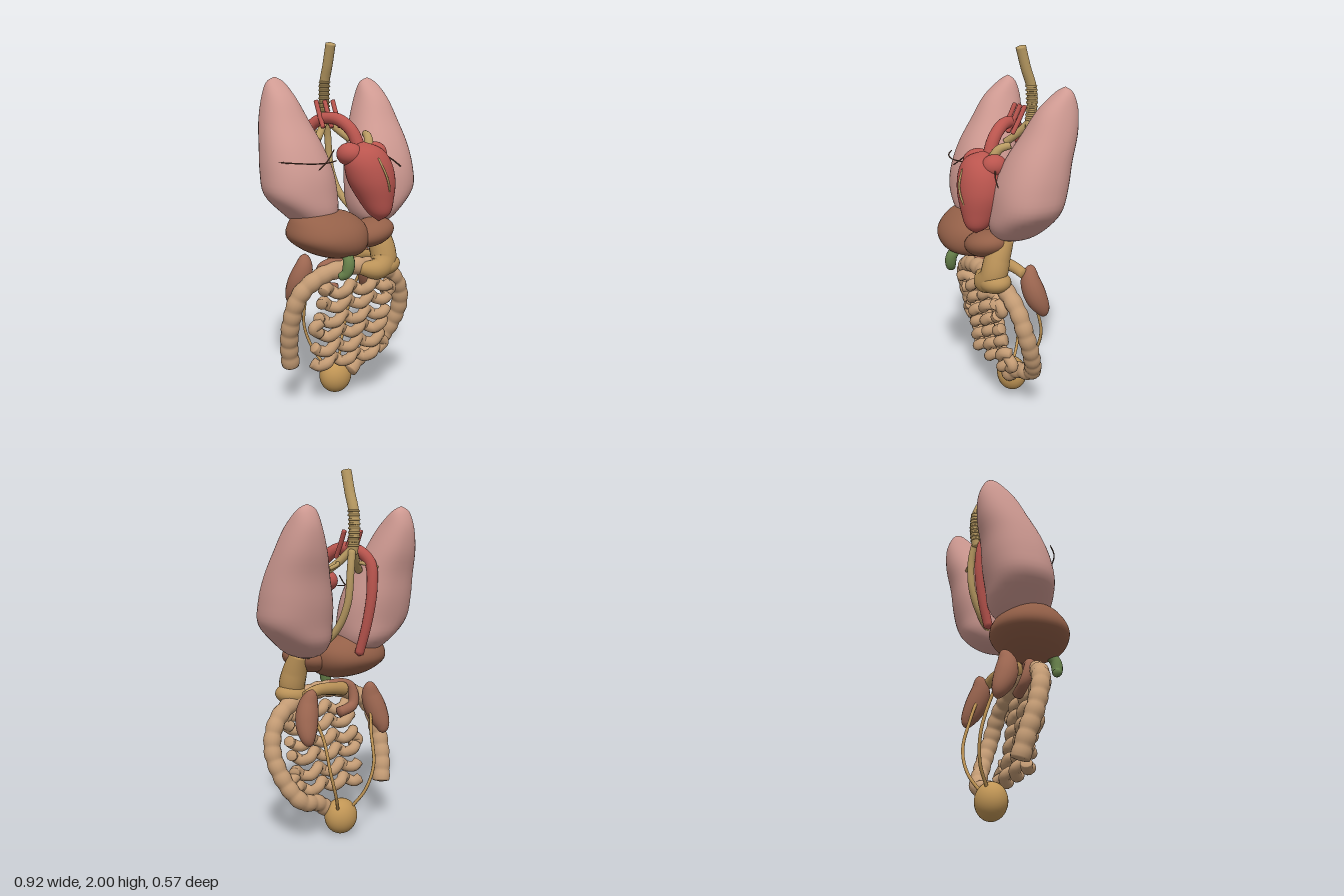
import * as THREE from 'three';
import { mergeVertices } from 'three/addons/utils/BufferGeometryUtils.js';

const COLORS = {
  lung: 0xcf9a92, heart: 0xba554e, liver: 0x946048, stomach: 0xba9258, gut: 0xc39b74,
  kidney: 0x9c6650, bladder: 0xc09555, airway: 0xb89a62, gall: 0x66804a, line: 0x6b4a3a,
};
const V = (p) => new THREE.Vector3(...p);
const spline = (pts) => new THREE.CatmullRomCurve3(pts.map(V));

function smooth(geo) {
  geo.deleteAttribute('uv');
  geo.deleteAttribute('normal');
  const g = mergeVertices(geo, 1e-5);
  g.computeVertexNormals();
  return g;
}

// Piecewise-smooth interpolation through rows of numbers
function sample(rows, t) {
  const f = t * (rows.length - 1), i = Math.min(Math.floor(f), rows.length - 2), k = f - i;
  const at = (n) => rows[Math.max(0, Math.min(rows.length - 1, n))];
  return rows[0].map((_, c) => {
    const a = at(i - 1)[c], b = at(i)[c], d = at(i + 1)[c], e = at(i + 2)[c];
    return b + 0.5 * k * (d - a + k * (2 * a - 5 * b + 4 * d - e + k * (3 * (b - d) + e - a)));
  });
}

// Organ from horizontal sections [y, centreX, centreZ, radiusX, radiusZ], top to bottom
function loft(rows, power = 2) {
  const geo = new THREE.SphereGeometry(1, 40, 36);
  const pos = geo.attributes.position, uv = geo.attributes.uv;
  const round = (v) => Math.sign(v) * Math.abs(v) ** (2 / power);
  for (let i = 0; i < pos.count; i++) {
    const t = 1 - uv.getY(i), a = uv.getX(i) * Math.PI * 2;
    const [y, cx, cz, rx, rz] = sample(rows, t);
    const end = t < 1e-6 || t > 1 - 1e-6 ? 0 : 1;
    pos.setXYZ(i, cx - end * rx * round(Math.cos(a)), y, cz + end * rz * round(Math.sin(a)));
  }
  return smooth(geo);
}

// Closed tube along points, with radius a number or a function of t
function tube(pts, radius, n = 40, sides = 14) {
  const curve = spline(pts), geo = new THREE.TubeGeometry(curve, n, 1, sides);
  const pos = geo.attributes.position, v = new THREE.Vector3();
  for (let i = 0; i <= n; i++) {
    const c = curve.getPointAt(i / n);
    let r = typeof radius === 'function' ? radius(i / n) : radius;
    // the end rings close over the neighbouring ring as caps
    const cap = i === 0 || i === n;
    if (cap) r = 0;
    for (let j = 0; j <= sides; j++) {
      const k = i * (sides + 1) + j;
      v.fromBufferAttribute(pos, k).sub(c).multiplyScalar(r).add(c);
      pos.setXYZ(k, v.x, v.y, v.z);
    }
  }
  return smooth(geo);
}

export function createModel() {
  const model = new THREE.Group();
  const add = (name, geo, color) => {
    const mesh = new THREE.Mesh(geo, new THREE.MeshStandardMaterial({ color: COLORS[color] }));
    mesh.name = name;
    model.add(mesh);
    return mesh;
  };
  const ball = (name, p, r, color) => {
    const m = add(name, new THREE.SphereGeometry(1, 32, 24), color);
    m.position.set(...p);
    m.scale.set(...r);
    return m;
  };

  // Windpipe, its rings and the two bronchi
  add('windpipe', tube([[0, 2, -0.13], [0, 1.88, -0.165], [0, 1.78, -0.2], [0, 1.68, -0.205], [0, 1.56, -0.19]], 0.028, 60), 'airway');
  for (let i = 0; i < 9; i++) {
    const ring = add('windpipeRing', new THREE.TorusGeometry(0.027, 0.006, 8, 24), 'airway');
    ring.position.set(0, 1.61 + i * 0.022, -0.198 - 0.006 * Math.sin(i / 8 * Math.PI));
    ring.rotation.x = Math.PI / 2;
  }
  for (const s of [1, -1]) {
    add('bronchus', tube([[0, 1.6, -0.195], [s * 0.05, 1.53, -0.15], [s * 0.11, 1.47, -0.1]], 0.021), 'airway');
    add('bronchusBranch', tube([[s * 0.06, 1.52, -0.14], [s * 0.1, 1.51, -0.19], [s * 0.16, 1.49, -0.2]], 0.011), 'airway');
  }
  add('gullet', tube([[0.01, 1.6, -0.2], [0.03, 1.48, -0.215], [0.04, 1.3, -0.2], [0.07, 1.15, -0.13], [0.16, 1.0, 0.03]], 0.02), 'airway');

  // Lungs
  const lung = [
    [1.815, 0.3, -0.22, 0, 0], [1.785, 0.3, -0.215, 0.05, 0.042], [1.7, 0.298, -0.18, 0.088, 0.105],
    [1.58, 0.29, -0.14, 0.13, 0.14], [1.45, 0.278, -0.085, 0.167, 0.165], [1.32, 0.265, -0.05, 0.193, 0.183],
    [1.2, 0.253, -0.028, 0.195, 0.18], [1.1, 0.21, -0.015, 0.145, 0.165], [1.03, 0.185, 0, 0.085, 0.105], [1, 0.18, 0, 0, 0],
  ];
  for (const [name, s] of [['leftLung', 1], ['rightLung', -1]]) {
    const rows = lung.map(([y, x, z, rx, rz]) => [y, s * x, z, rx, rz]);
    add(name, loft(rows, 2.25), 'lung');
  }
  // Fissure lines on the lungs
  [
    [[-0.44, 1.385, 0.07], [-0.36, 1.38, 0.13], [-0.27, 1.375, 0.155], [-0.18, 1.375, 0.14], [-0.1, 1.38, 0.1]],
    [[-0.25, 1.34, 0.155], [-0.19, 1.38, 0.14], [-0.12, 1.44, 0.1]],
    [[0.19, 1.4, 0.12], [0.23, 1.37, 0.14], [0.28, 1.33, 0.15]],
    [[0.4, 1.26, 0.08], [0.45, 1.235, 0.02]],
    [[-0.4, 1.26, 0.08], [-0.45, 1.235, 0.02]],
  ].forEach((p) => add('fissure', tube(p, 0.0035, 16, 6), 'line'));

  // Heart with its upper chambers and vessels
  add('heart', loft([
    [1.475, 0.05, 0.12, 0, 0], [1.44, 0.055, 0.13, 0.085, 0.08], [1.37, 0.065, 0.14, 0.13, 0.115], [1.27, 0.083, 0.148, 0.132, 0.125],
    [1.17, 0.1, 0.165, 0.098, 0.1], [1.09, 0.11, 0.185, 0.058, 0.06], [1.05, 0.105, 0.19, 0, 0],
  ]), 'heart');
  ball('rightAtrium', [-0.03, 1.41, 0.11], [0.068, 0.062, 0.08], 'heart');
  ball('leftAtrium', [0.14, 1.41, 0.1], [0.06, 0.06, 0.07], 'heart');
  add('lungArtery', tube([[0.1, 1.42, 0.1], [0.12, 1.49, 0.06], [0.14, 1.51, 0]], (t) => 0.03 - 0.012 * t), 'airway');
  add('aorta', tube([
    [0.05, 1.42, 0.09], [0.025, 1.53, 0.04], [-0.02, 1.59, -0.04], [-0.07, 1.585, -0.13], [-0.115, 1.52, -0.19],
    [-0.115, 1.38, -0.21], [-0.1, 1.2, -0.19], [-0.08, 1.01, -0.14],
  ], (t) => 0.036 - 0.011 * t, 60), 'heart');
  for (const x of [-0.085, -0.03, 0.022])
    add('archVessel', tube([[x, 1.54, -0.07], [x, 1.61, -0.11], [x, 1.69, -0.15]], 0.013), 'heart');
  add('coronaryVessel', tube([[0.06, 1.4, 0.24], [0.085, 1.32, 0.275], [0.11, 1.25, 0.275], [0.125, 1.19, 0.25]], 0.006, 20, 8), 'airway');

  // Liver and gallbladder
  add('liverRightLobe', loft([
    [1.12, -0.17, 0.05, 0, 0], [1.1, -0.165, 0.05, 0.14, 0.12], [1.04, -0.15, 0.06, 0.205, 0.19],
    [0.97, -0.145, 0.07, 0.215, 0.212], [0.905, -0.12, 0.09, 0.16, 0.17], [0.868, -0.1, 0.1, 0.075, 0.08], [0.86, -0.1, 0.1, 0, 0],
  ], 2.2), 'liver');
  const lobe = ball('liverLeftLobe', [0.095, 0.98, 0.12], [0.14, 0.075, 0.12], 'liver');
  lobe.rotation.z = 0.25;
  add('gallbladder', tube([[-0.11, 0.9, 0.2], [-0.115, 0.86, 0.235], [-0.13, 0.8, 0.235], [-0.165, 0.775, 0.21]],
    (t) => 0.012 + 0.02 * Math.sin(Math.PI * Math.min(1, t * 0.7 + 0.2)), 24), 'gall');

  // Stomach, first bowel loop and pancreas
  add('stomach', tube([[0.18, 1.03, 0.05], [0.18, 0.92, 0.1], [0.18, 0.82, 0.13], [0.13, 0.775, 0.15], [0.02, 0.785, 0.12]],
    (t) => 0.045 + 0.035 * Math.sin(Math.PI * t) - 0.015 * t, 40, 20), 'stomach');
  const pouch = ball('stomachPouch', [0.185, 0.785, 0.12], [0.1, 0.06, 0.085], 'stomach');
  pouch.rotation.z = 0.15;
  add('duodenum', tube([[0.03, 0.785, 0.11], [-0.08, 0.82, 0.08], [-0.17, 0.8, 0.06], [-0.17, 0.7, 0.03], [-0.06, 0.66, 0.03]], 0.03), 'kidney');
  add('pancreas', tube([[-0.1, 0.8, 0.02], [0.02, 0.82, -0.01], [0.12, 0.825, -0.03], [0.21, 0.805, -0.05]],
    (t) => 0.04 - 0.012 * t), 'stomach');

  // Large bowel with its regular bulges
  add('largeBowel', tube([
    [-0.31, 0.23, -0.06], [-0.335, 0.36, -0.03], [-0.345, 0.52, 0.02], [-0.31, 0.67, 0.06], [-0.19, 0.765, 0.09], [0, 0.795, 0.1],
    [0.2, 0.755, 0.08], [0.32, 0.665, 0.06], [0.37, 0.52, 0.03], [0.335, 0.35, -0.03], [0.25, 0.23, -0.075], [0.13, 0.19, -0.05], [0.05, 0.13, -0.03],
  ], (t) => 0.042 + 0.006 * Math.abs(Math.sin(t * Math.PI * 26)) + 0.004 * (1 - t), 220, 16), 'gut');

  // Small bowel: stacked wavy rows, joined at alternate sides
  const rows = [0.68, 0.6, 0.51, 0.43, 0.34, 0.255];
  const depth = (y) => 0.03 + 0.19 * (y - 0.22);
  rows.forEach((y, i) => {
    const pts = [];
    for (let j = 0; j <= 12; j++) {
      const a = j / 12 * Math.PI * 6 + i * 0.6;
      pts.push([-0.22 + 0.45 * j / 12, y + 0.022 * Math.sin(a), depth(y) + 0.025 * Math.cos(a)]);
    }
    add('smallBowelRow', tube(pts, 0.031, 80, 12), 'gut');
    if (i % 2 === 0) {
      const x = i % 4 ? -0.19 : 0.2, y2 = rows[i + 1];
      const o = Math.sign(x) * 0.05;
      add('smallBowelBend', tube([[x, y, depth(y)], [x + o, (y + y2) / 2, depth(y) - 0.01], [x, y2, depth(y2)]], 0.031, 24, 12), 'gut');
    }
  });

  // Kidneys and ureters
  for (const [side, s] of [['left', 1], ['right', -1]]) {
    add(side + 'Kidney', tube([[s * 0.19, 0.85, -0.1], [s * 0.21, 0.77, -0.085], [s * 0.235, 0.68, -0.105], [s * 0.25, 0.6, -0.14], [s * 0.245, 0.555, -0.155]],
      (t) => 0.062 * Math.sqrt(Math.max(0, Math.sin(Math.PI * t))), 32, 18), 'kidney');
    add(side + 'Ureter', tube([[s * 0.19, 0.7, -0.11], [s * 0.16, 0.58, -0.155], [s * 0.145, 0.4, -0.2], [s * 0.1, 0.26, -0.185], [s * 0.04, 0.14, -0.12]], 0.009, 40, 8), 'bladder');
  }

  // Bladder
  ball('bladder', [0, 0.1, -0.09], [0.096, 0.1, 0.085], 'bladder');
  return model;
}
